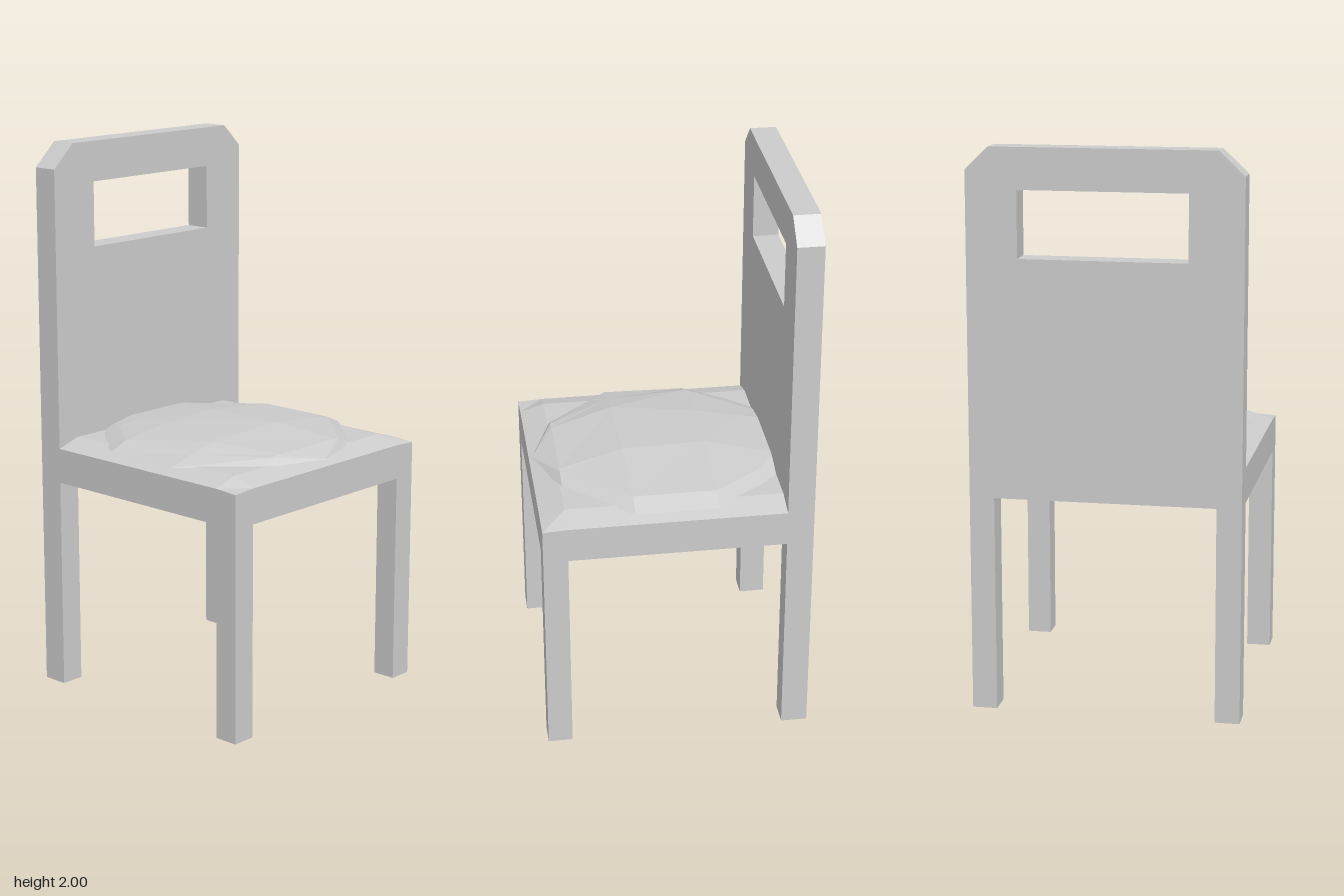
import * as THREE from 'three';

const H = 0.48;        // half width of the chair
const IN = 0.392;      // inner face of the legs
const BACK = -0.385;   // front face of the back panel
const APRON_Y = 0.775; // underside of the seat edge

const material = new THREE.MeshStandardMaterial({ color: 0xcccccc, flatShading: true, side: THREE.DoubleSide });

function add(group, name, geometry) {
  const mesh = new THREE.Mesh(geometry, material);
  mesh.name = name;
  group.add(mesh);
}

const toPoints = (list) => list.map(([z, y]) => new THREE.Vector2(z, y));

// Back panel with its two legs, chamfered top corners and hand slot
function backPanel() {
  const shape = new THREE.Shape(toPoints([
    [-H, 0], [-IN, 0], [-IN, APRON_Y], [IN, APRON_Y], [IN, 0], [H, 0],
    [H, 1.915], [0.39, 2], [-0.398, 2], [-H, 1.92],
  ]));
  shape.holes.push(new THREE.Path(toPoints([[-0.3, 1.62], [-0.3, 1.855], [0.29, 1.855], [0.29, 1.62]])));
  return new THREE.ExtrudeGeometry(shape, { depth: BACK + H, bevelEnabled: false })
    .rotateY(-Math.PI / 2).translate(BACK, 0, 0);
}

// Solid seat: the top swells above its rim and the underside is slightly hollowed
function seat() {
  const geometry = new THREE.BoxGeometry(2, 2, 3, 2, 1, 3);
  const p = geometry.attributes.position;
  const xs = [BACK, IN, H];
  const zs = [-H, -0.388, 0.388, H];
  for (let i = 0; i < p.count; i++) {
    const ix = Math.round(p.getX(i) + 1);
    const iz = Math.round(p.getZ(i) + 1.5);
    const rims = (ix === 2 ? 1 : 0) + (iz % 3 === 0 ? 1 : 0);
    const y = p.getY(i) > 0 ? [0.93, 0.902, 0.897][rims] : [0.8, APRON_Y, APRON_Y][rims];
    p.setXYZ(i, xs[ix], y, zs[iz]);
  }
  geometry.computeVertexNormals();
  return geometry;
}

// Low faceted cushion: cross-sections along x, each a list of [z, y] points
function cushion() {
  const E = 0.925;
  const sections = [
    [-0.4, [[-0.25, E], [-0.2, 0.945], [-0.15, 0.96], [0.11, 0.96], [0.2, 0.943], [0.25, E]]],
    [-0.32, [[-0.33, E], [-0.25, 0.954], [-0.13, 0.968], [0.125, 0.968], [0.24, 0.953], [0.33, E]]],
    [-0.15, [[-0.45, E], [-0.38, 0.957], [-0.08, 0.988], [0.165, 0.982], [0.375, 0.957], [0.447, E]]],
    [0.15, [[-0.45, E], [-0.38, 0.957], [-0.095, 0.988], [0.24, 0.978], [0.35, 0.953], [0.457, E]]],
    [0.385, [[-0.245, E], [-0.17, 0.954], [-0.15, 0.957], [0.15, 0.957], [0.19, 0.953], [0.245, E]]],
    [0.47, Array(6).fill([0, E])],
  ];
  const positions = [];
  const index = [];
  const n = 6;
  sections.forEach(([x, loop], s) => {
    loop.forEach(([z, y]) => positions.push(x, y, z));
    if (s === 0) return;
    for (let i = 0; i < n; i++) {
      const j = (i + 1) % n;
      const a = (s - 1) * n + i, b = (s - 1) * n + j;
      const c = s * n + i, d = s * n + j;
      index.push(a, b, c);
      if (s < sections.length - 1) index.push(b, d, c);
    }
  });
  const geometry = new THREE.BufferGeometry();
  geometry.setAttribute('position', new THREE.Float32BufferAttribute(positions, 3));
  geometry.setIndex(index);
  const flat = geometry.toNonIndexed();
  flat.computeVertexNormals();
  return flat;
}

export function createModel() {
  const chair = new THREE.Group();
  chair.name = 'chair';

  add(chair, 'backPanel', backPanel());
  add(chair, 'seat', seat());
  add(chair, 'cushion', cushion());

  // Legs under the free edge of the seat, mirrored across z and reaching into its hollow
  const width = H - IN;
  const height = 0.81;
  for (const [name, side] of [['firstSeatLeg', -1], ['secondSeatLeg', 1]]) {
    add(chair, name, new THREE.BoxGeometry(width, height, width)
      .translate((H + IN) / 2, height / 2, side * (H + IN) / 2));
  }
  return chair;
}
